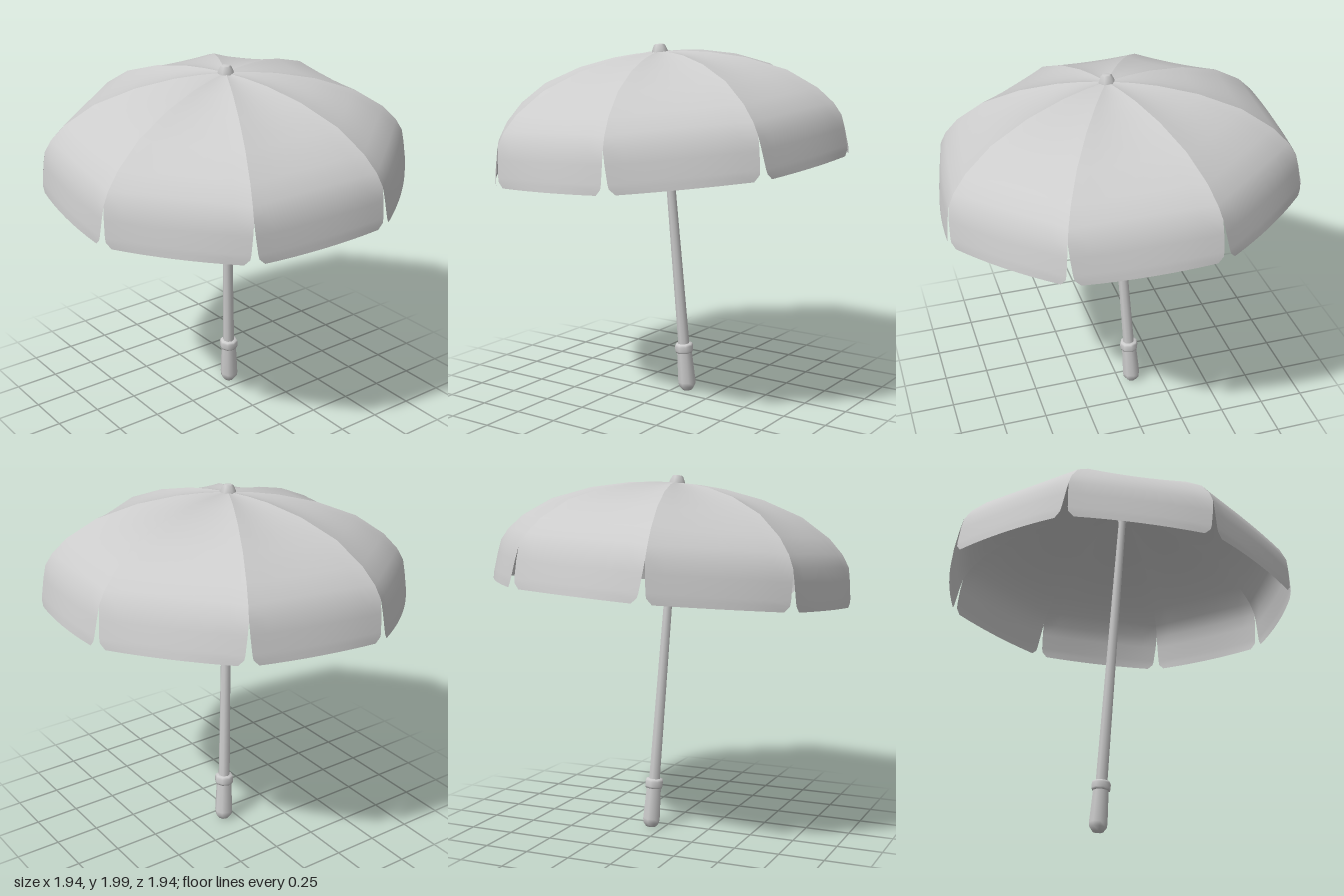
import * as THREE from 'three';

const fabric = new THREE.MeshStandardMaterial({ color: 0xcccccc, side: THREE.DoubleSide });
fabric.name = 'pale grey';

// Canopy rows from crown to hem: rib radius, height, mid-panel sag, slit half-width
const rows = [
  [0.01, 1.96, 0, 0], [0.14, 1.955, 0.006, 0], [0.27, 1.942, 0.012, 0], [0.48, 1.9, 0.016, 0],
  [0.7, 1.822, 0.01, 0], [0.86, 1.718, 0, 0], [0.94, 1.635, -0.006, 0], [0.978, 1.57, -0.012, 0],
  [0.993, 1.5, -0.016, 0.007], [1.008, 1.41, -0.02, 0.018], [1.012, 1.385, -0.02, 0.024],
  [1.016, 1.355, -0.02, 0.055],
];
const COLS = 8;
const HALF = Math.PI / 8;

// One of eight flat-chord panels, facing +x, with a valance below the rim
function panelGeometry() {
  const pos = [], index = [];
  rows.forEach(([r, y, sag, slit], i) => {
    for (let j = 0; j <= COLS; j++) {
      const u = (j / COLS) * 2 - 1;
      const bow = sag * (1 - u * u);
      const drop = i < 7 ? bow : 0;
      const out = i > 5 ? -bow : 0;
      pos.push(r * Math.cos(HALF) + out, y - drop, u * (r * Math.sin(HALF) - slit));
      if (i < rows.length - 1 && j < COLS) {
        const a = i * (COLS + 1) + j, c = a + COLS + 1;
        index.push(a, a + 1, c, a + 1, c + 1, c);
      }
    }
  });
  const g = new THREE.BufferGeometry();
  g.setAttribute('position', new THREE.Float32BufferAttribute(pos, 3));
  g.setIndex(index);
  g.computeVertexNormals();
  return g;
}

function turned(name, points, sides) {
  const g = new THREE.LatheGeometry(points.map(([r, y]) => new THREE.Vector2(r, y)), sides);
  const m = new THREE.Mesh(g, fabric);
  m.name = name;
  return m;
}

export function createModel() {
  const model = new THREE.Group();
  model.name = 'parasol';

  // Everything leans along one tilted axis
  const parasol = new THREE.Group();
  parasol.name = 'leaningParasol';
  parasol.position.set(0.075, 0.003, -0.08);
  parasol.quaternion.setFromUnitVectors(
    new THREE.Vector3(0, 1, 0), new THREE.Vector3(-0.0575, 1, 0.06).normalize());
  model.add(parasol);

  // Canopy
  const canopy = new THREE.Group();
  canopy.name = 'canopy';
  const panel = panelGeometry();
  for (let k = 0; k < 8; k++) {
    const m = new THREE.Mesh(panel, fabric);
    m.name = 'canopyPanel' + (k + 1);
    m.rotation.y = -(THREE.MathUtils.degToRad(29) + HALF * (2 * k + 1));
    canopy.add(m);
  }
  parasol.add(canopy);

  // Pole with a small flare under the crown
  parasol.add(turned('pole',
    [[0.033, 0.24], [0.021, 1.88], [0.032, 1.905], [0.032, 1.93], [0.02, 1.95]], 8));

  // Grip and collar
  parasol.add(turned('grip',
    [[0, 0.003], [0.03, 0.006], [0.048, 0.03], [0.051, 0.055], [0.043, 0.245]], 8));
  parasol.add(turned('collar',
    [[0.033, 0.23], [0.05, 0.234], [0.053, 0.245], [0.053, 0.272], [0.048, 0.284], [0.03, 0.287]], 8));

  // Finial
  parasol.add(turned('finial',
    [[0.046, 1.945], [0.043, 1.965], [0.03, 1.995], [0.022, 2.0], [0, 2.001]], 6));

  return model;
}
